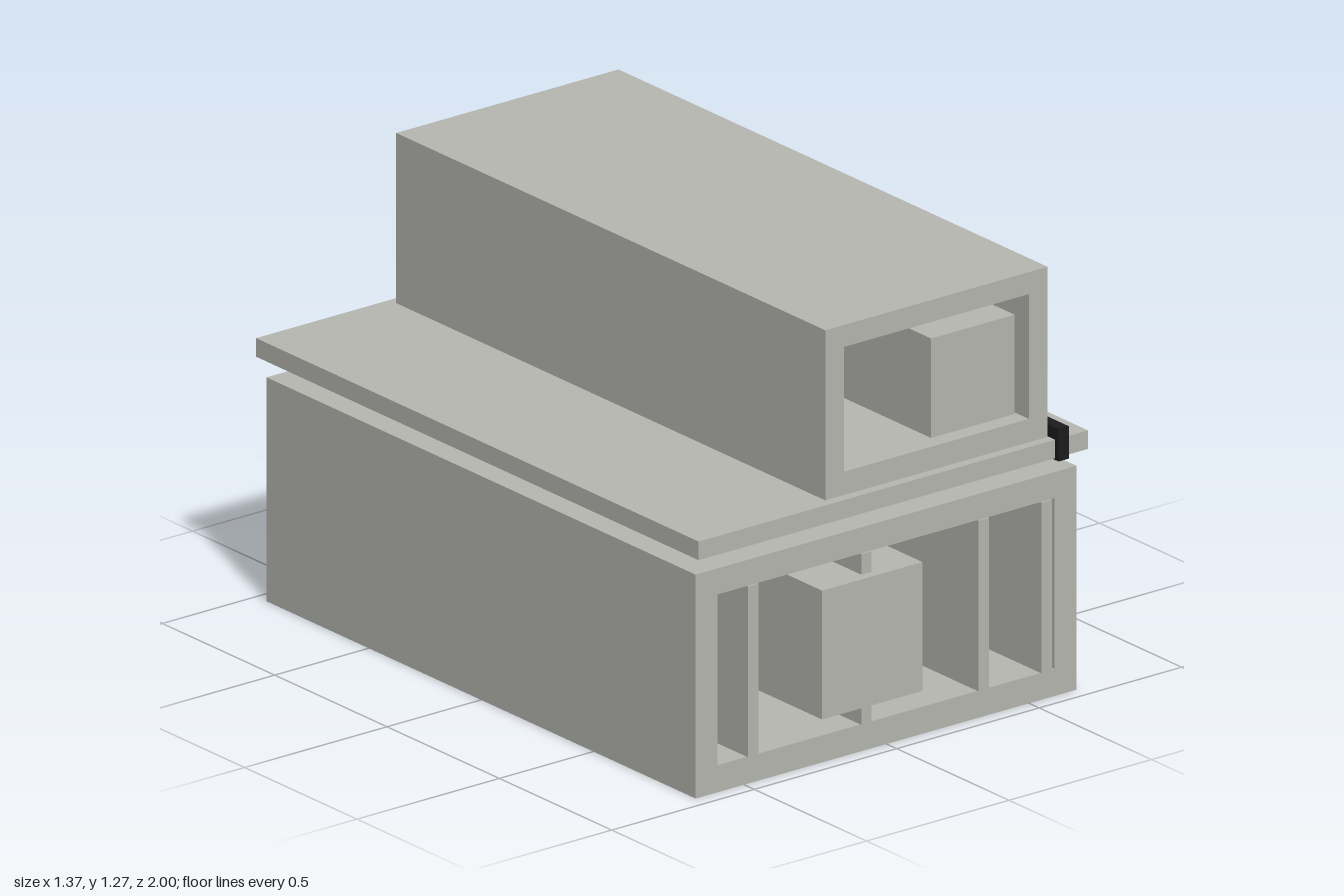
import * as THREE from 'three';

const concrete = new THREE.MeshStandardMaterial({ color: 0xb8b8b2 });
concrete.name = 'concrete grey';
const black = new THREE.MeshStandardMaterial({ color: 0x1c1c1c });
black.name = 'black trim';

// Box given by its x and y limits, centred on z = 0
function block(name, x0, x1, y0, y1, depth, material = concrete) {
  const mesh = new THREE.Mesh(new THREE.BoxGeometry(x1 - x0, y1 - y0, depth), material);
  mesh.position.set((x0 + x1) / 2, (y0 + y1) / 2, 0);
  mesh.name = name;
  return mesh;
}

function rectangle(PathType, [x0, x1, y0, y1]) {
  return new PathType([[x0, y0], [x1, y0], [x1, y1], [x0, y1]].map(([x, y]) => new THREE.Vector2(x, y)));
}

// Rectangular tube, open at the front and back
function tube(name, outer, inner, depth) {
  const shape = rectangle(THREE.Shape, outer);
  shape.holes.push(rectangle(THREE.Path, inner));
  const geometry = new THREE.ExtrudeGeometry(shape, { depth, bevelEnabled: false });
  geometry.translate(0, 0, -depth / 2);
  const mesh = new THREE.Mesh(geometry, concrete);
  mesh.name = name;
  return mesh;
}

export function createModel() {
  const model = new THREE.Group();
  model.name = 'building';

  // Lower storey with its dividing walls and inner room
  const lower = new THREE.Group();
  lower.name = 'lowerStorey';
  lower.add(tube('lowerShell', [-0.67, 0.667, 0, 0.662], [-0.593, 0.589, 0.08, 0.585], 1.91));
  for (const x of [-0.472, -0.074, 0.337, 0.558]) {
    lower.add(block('dividingWall', x - 0.018, x + 0.018, 0.08, 0.585, 1.92));
  }
  lower.add(block('lowerRoom', -0.252, 0.1, 0.143, 0.524, 1.976));

  // Slab between the storeys, with a dark band around it
  const slab = block('slab', -0.683, 0.683, 0.717, 0.772, 1.97);
  const band = block('edgeBand', 0.568, 0.604, 0.712, 0.808, 2, black);

  // Upper storey with its inner room
  const upper = new THREE.Group();
  upper.name = 'upperStorey';
  upper.add(tube('upperShell', [-0.215, 0.565, 0.772, 1.275], [-0.15, 0.499, 0.841, 1.21], 1.91));
  upper.add(block('upperRoom', 0.139, 0.432, 0.878, 1.172, 1.954));

  model.add(lower, slab, band, upper);
  return model;
}
